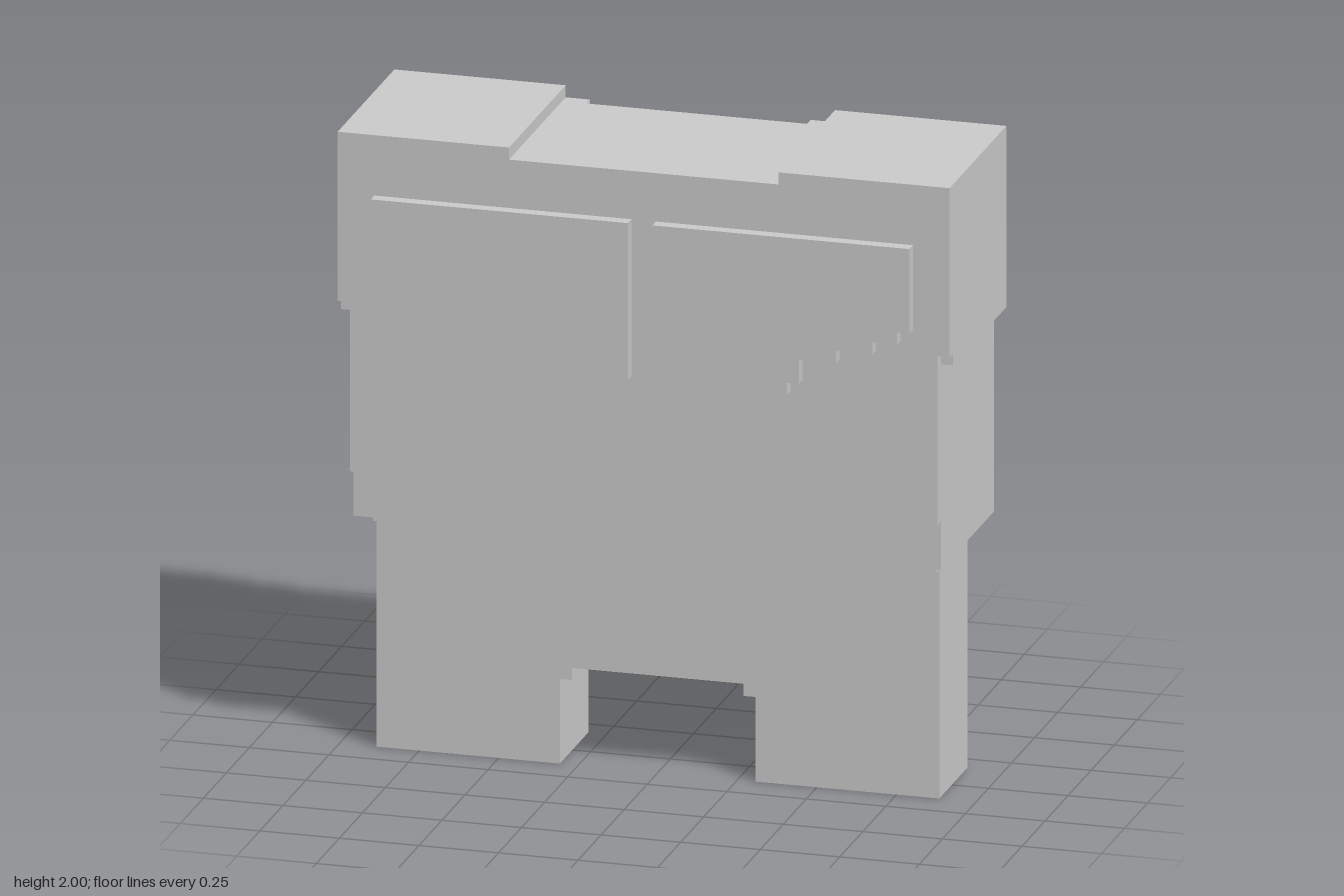
import * as THREE from 'three';

// Everything sits on a grid of 52 cells over the height
const U = 2 / 52;
const material = new THREE.MeshStandardMaterial({ color: 0xcccccc, flatShading: true });

// Extrudes a stepped outline (in cells) between two depths
function slab(name, points, z0, z1) {
  const shape = new THREE.Shape(points.map(([x, y]) => new THREE.Vector2(x * U, y * U)));
  const geometry = new THREE.ExtrudeGeometry(shape, { depth: (z1 - z0) * U, bevelEnabled: false });
  geometry.translate(0, 0, z0 * U);
  const mesh = new THREE.Mesh(geometry, material);
  mesh.name = name;
  return mesh;
}

// Completes a right half outline, listed from bottom to top, with its mirror image
const mirror = (half) => [...half, ...half.map(([x, y]) => [-x, y]).reverse()];

export function createModel() {
  const model = new THREE.Group();
  model.name = 'blockTorso';

  // Legs with a stepped arch between them
  model.add(slab('legs', mirror([[7, 8], [7, 7], [8, 7], [8, 0], [23, 0], [23, 19]]), -4.5, 3.5));

  // Wider band where the legs meet the torso
  model.add(slab('hipBand', mirror([[23, 19], [23, 20]]), -5.5, 4.5));

  // Torso core with shoulders and a shallow neck dip
  const side = [[24, 20], [24, 37], [25, 37], [25, 52], [11, 52], [11, 51]];
  model.add(slab('torso', mirror(side), -7.5, 6.5));

  // Back layer with a stepped recess below the neck
  model.add(slab('back', mirror([...side, [9, 51], [9, 50], [6, 50], [6, 49]]), -8.5, -7.5));

  // Chest layer, ending above the waist
  model.add(slab('chest', mirror([[24, 24], [24, 38], [25, 38], [25, 52], [11, 52], [11, 51]]), 6.5, 7.5));

  // Pair of raised chest plates with stepped lower edges
  const plate = [
    [1, 34], [12, 34], [12, 35], [13, 35], [13, 37], [16, 37], [16, 38],
    [19, 38], [19, 39], [21, 39], [21, 40], [22, 40], [22, 47], [1, 47],
  ];
  for (const [name, s] of [['leftChestPlate', 1], ['rightChestPlate', -1]]) {
    model.add(slab(name, plate.map(([x, y]) => [s * x, y]), 7.5, 8.5));
  }

  return model;
}
